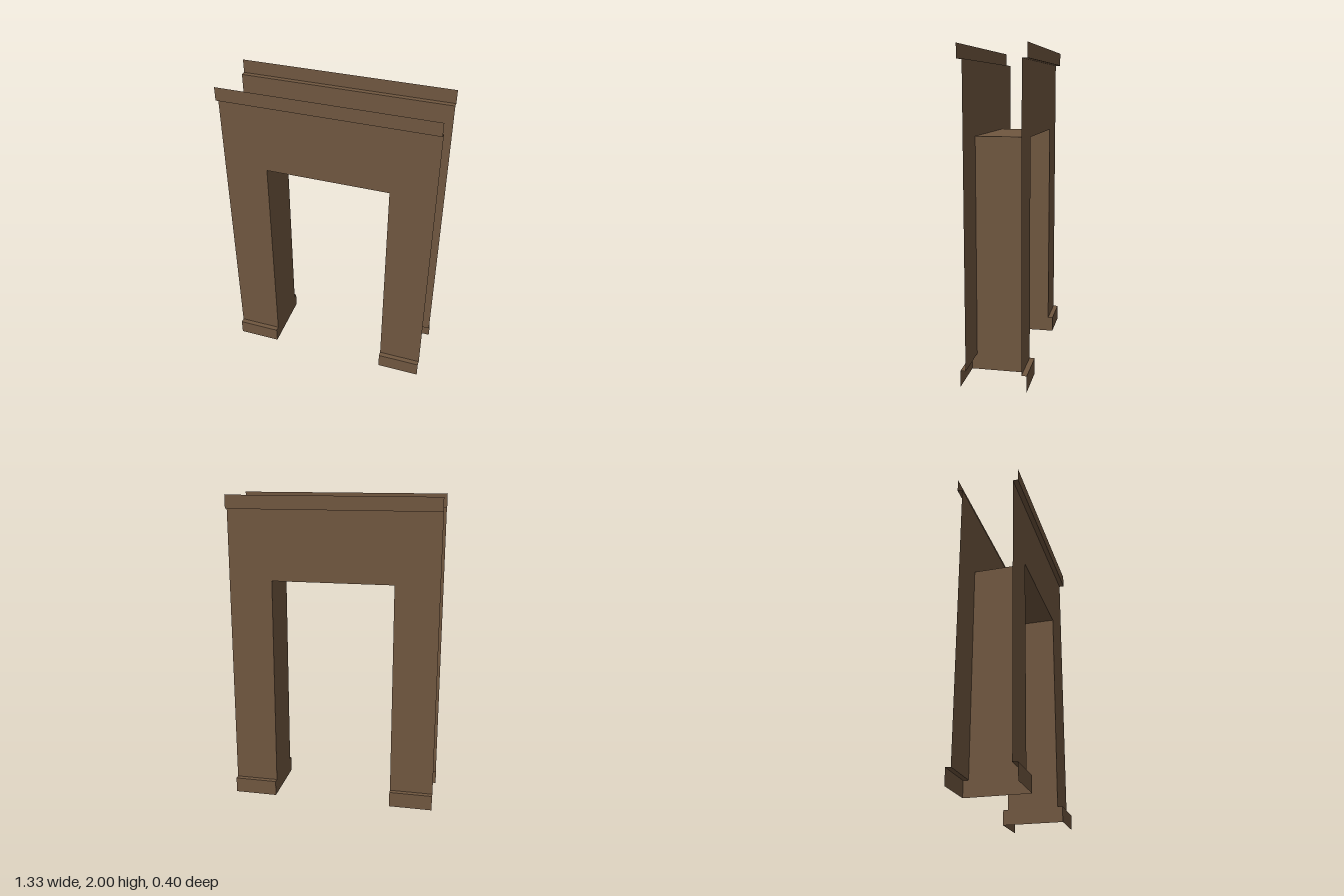
import * as THREE from 'three';

const OUTER = 0.667, INNER = 0.388;      // half widths of frame and opening
const FACE = 0.168, TRIM = 0.2;          // half depths of wall face and trim
const BASE = 0.1, OPENING = 1.47, BAND = 1.915, TOP = 2;

// Sweeps a [z, y] profile, listed bottom to top, straight along x
function strip(profile, x0, x1) {
  const pos = [];
  for (let i = 0; i < profile.length - 1; i++) {
    const [z0, y0] = profile[i], [z1, y1] = profile[i + 1];
    pos.push(x0, y0, z0, x1, y0, z0, x1, y1, z1);
    pos.push(x0, y0, z0, x1, y1, z1, x0, y1, z1);
  }
  const geo = new THREE.BufferGeometry();
  geo.setAttribute('position', new THREE.Float32BufferAttribute(pos, 3));
  geo.computeVertexNormals();
  return geo;
}

export function createModel() {
  const model = new THREE.Group();
  model.name = 'doorwayFrame';
  const wood = new THREE.MeshStandardMaterial({ color: 0x705740 });
  wood.name = 'brownWood';
  wood.side = THREE.DoubleSide;

  const add = (parent, name, geo) => {
    const mesh = new THREE.Mesh(geo, wood);
    mesh.name = name;
    parent.add(mesh);
    return mesh;
  };

  // Front and back casings: open shells with stepped base and top band
  for (const side of ['front', 'back']) {
    const casing = new THREE.Group();
    casing.name = side + 'Casing';
    for (const [x0, x1] of [[-OUTER, -INNER], [INNER, OUTER]]) {
      add(casing, 'plinth', strip([[TRIM, 0], [TRIM, BASE], [FACE, BASE]], x0, x1));
      add(casing, 'post', strip([[FACE, BASE], [FACE, OPENING]], x0, x1));
    }
    add(casing, 'header', strip([[FACE, OPENING], [FACE, BAND]], -OUTER, OUTER));
    add(casing, 'topBand', strip([[FACE, BAND], [TRIM, BAND], [TRIM, TOP]], -OUTER, OUTER));
    if (side === 'back') casing.rotation.y = Math.PI;
    model.add(casing);
  }

  // Jamb linings, widened at the foot to meet the plinths
  const outline = [[-TRIM, 0], [TRIM, 0], [TRIM, BASE], [FACE, BASE],
    [FACE, OPENING], [-FACE, OPENING], [-FACE, BASE], [-TRIM, BASE]];
  const jamb = new THREE.Shape(outline.map(([z, y]) => new THREE.Vector2(z, y)));
  for (const s of [-1, 1]) {
    const mesh = add(model, s > 0 ? 'leftJamb' : 'rightJamb', new THREE.ShapeGeometry(jamb));
    mesh.rotation.y = -s * Math.PI / 2;
    mesh.position.x = s * INNER;
  }

  // Underside of the header
  const soffit = add(model, 'soffit', new THREE.PlaneGeometry(2 * INNER, 2 * FACE));
  soffit.rotation.x = Math.PI / 2;
  soffit.position.y = OPENING;

  return model;
}
